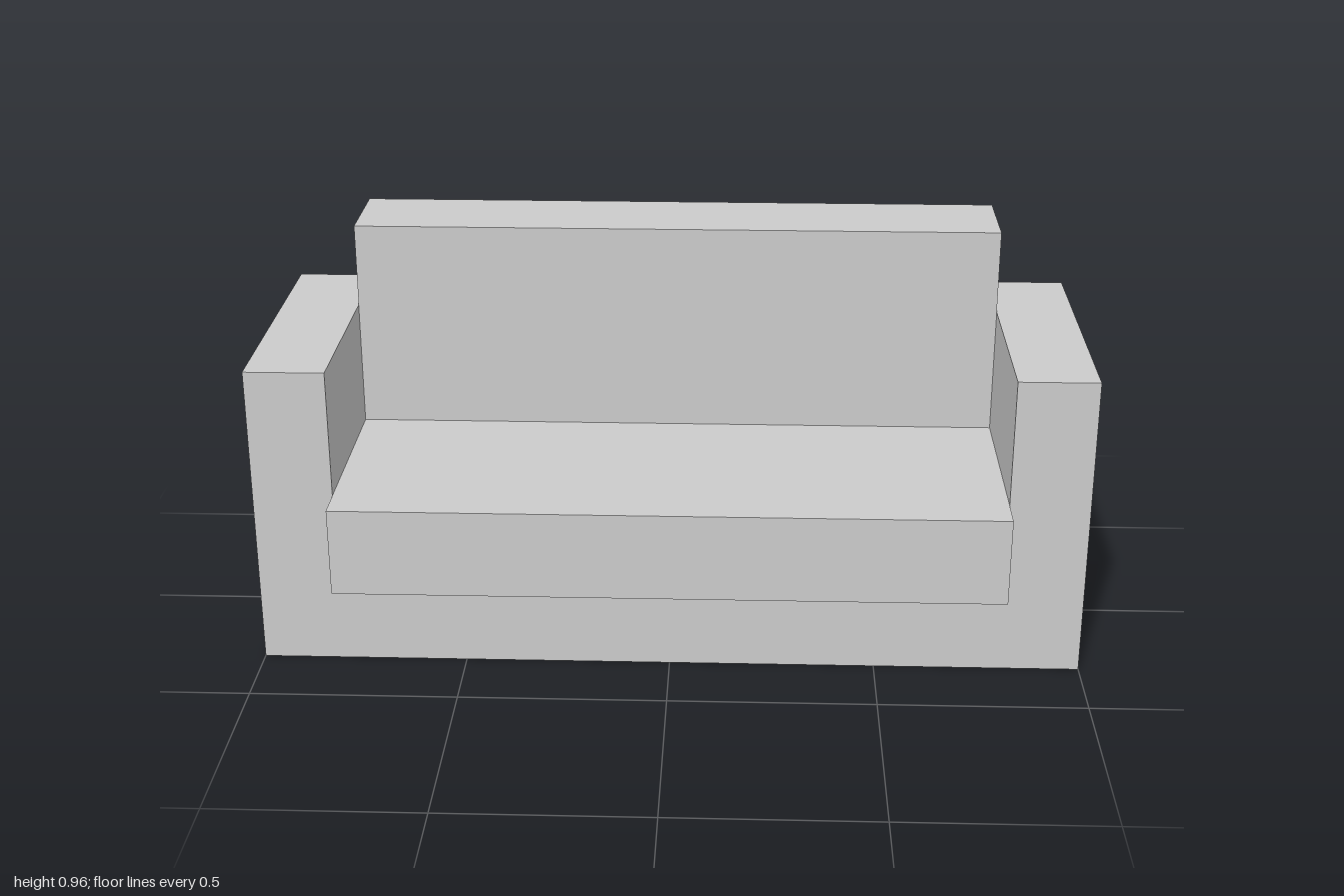
import * as THREE from 'three';

const BACK = -0.4;        // rear plane shared by frame and backrest
const INNER = 0.807;      // half width between the arms
const SEAT_BOTTOM = 0.22;

export function createModel() {
  const group = new THREE.Group();
  const material = new THREE.MeshStandardMaterial({ color: 0xcccccc, flatShading: true });

  const add = (name, geometry) => {
    const mesh = new THREE.Mesh(geometry, material);
    mesh.name = name;
    group.add(mesh);
  };

  // Box given by its y and z limits, spanning the space between the arms
  const between = (name, y0, y1, z0, z1) => {
    const box = new THREE.BoxGeometry(2 * INNER, y1 - y0, z1 - z0);
    add(name, box.translate(0, (y0 + y1) / 2, (z0 + z1) / 2));
  };

  // Base and both arms: one U-shaped profile extruded front to back
  const armTop = 0.753;
  const profile = new THREE.Shape([
    [-1, 0], [1, 0], [1, armTop], [INNER, armTop],
    [INNER, SEAT_BOTTOM], [-INNER, SEAT_BOTTOM], [-INNER, armTop], [-1, armTop],
  ].map(([x, y]) => new THREE.Vector2(x, y)));
  const frame = new THREE.ExtrudeGeometry(profile, { depth: 0.313 - BACK, bevelEnabled: false });
  add('baseAndArms', frame.translate(0, 0, BACK));

  // Backrest, flush with the rear of the frame
  between('backrest', SEAT_BOTTOM, 0.962, BACK, -0.163);

  // Seat cushion, overhanging the front of the base
  between('seatCushion', SEAT_BOTTOM, 0.438, -0.163, 0.4);

  return group;
}
